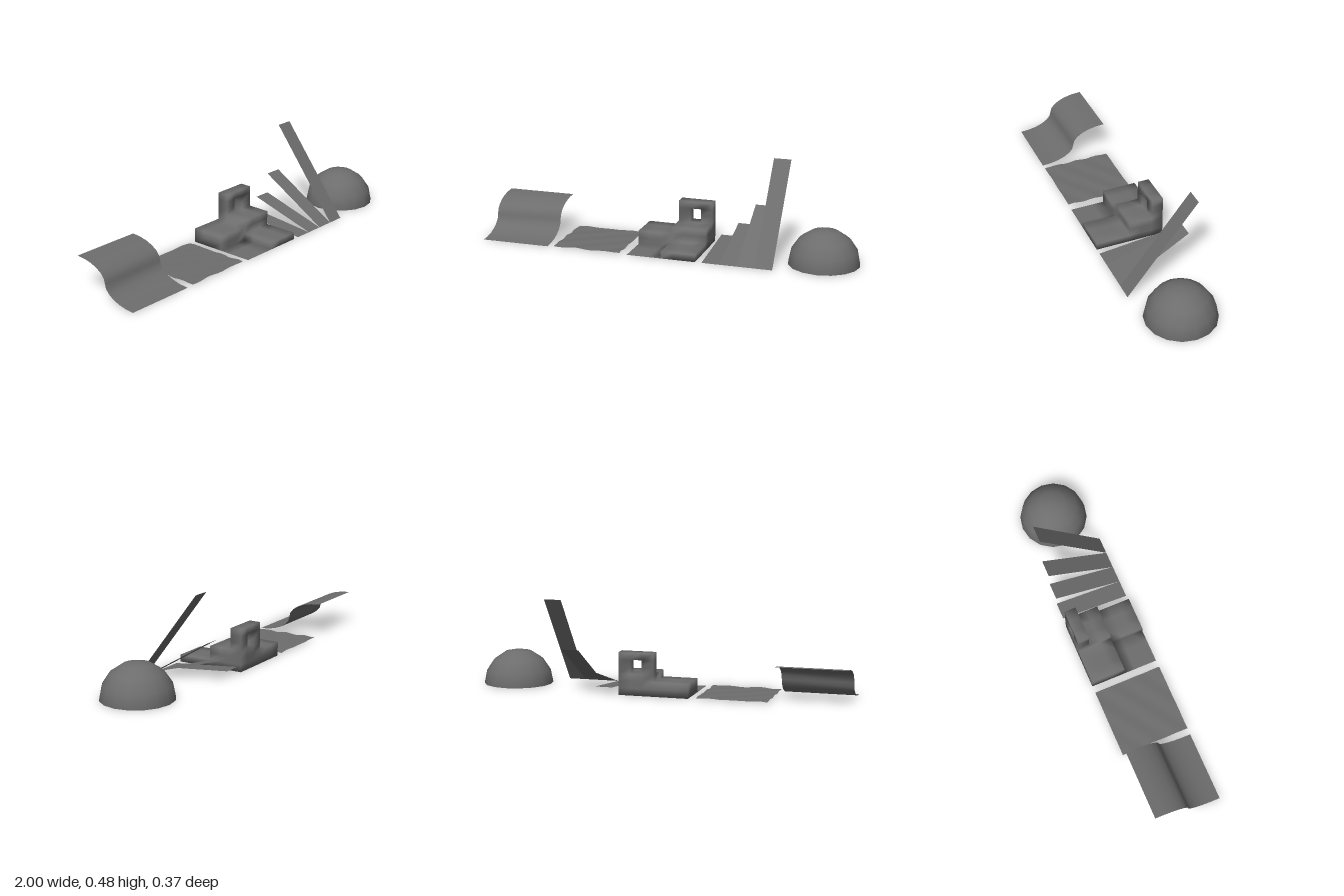
import * as THREE from 'three';
import { mergeGeometries, mergeVertices } from 'three/addons/utils/BufferGeometryUtils.js';

const HALF = 0.185, SIZE = HALF * 2;

export function createModel() {
  const model = new THREE.Group();
  const material = new THREE.MeshStandardMaterial({ color: 0x6d6d6d, side: THREE.DoubleSide });

  function add(parent, name, geometry, x = 0) {
    const mesh = new THREE.Mesh(geometry, material);
    mesh.name = name;
    mesh.position.x = x;
    parent.add(mesh);
  }

  // Horizontal sheet whose vertices are moved by a rule
  function sheet(width, nx, nz, rule) {
    const geometry = new THREE.PlaneGeometry(width, SIZE, nx, nz).rotateX(-Math.PI / 2);
    const p = geometry.attributes.position;
    for (let i = 0; i < p.count; i++) {
      const [y, z] = rule(p.getX(i), p.getZ(i));
      p.setY(i, y);
      p.setZ(i, z);
    }
    geometry.computeVertexNormals();
    return geometry;
  }

  // S-curved sheet: two quarter ellipses meeting at a vertical middle
  add(model, 'curvedSheet', sheet(SIZE, 1, 12, (x, z) => {
    const a = (1 - Math.abs(z) / HALF) * Math.PI / 2;
    const rise = HALF / 2 * (1 - Math.cos(a));
    const run = HALF * (1 - Math.sin(a));
    return z >= 0 ? [rise, run] : [HALF - rise, -run];
  }), -0.815);

  // Slightly uneven ground sheet
  add(model, 'bumpySheet', sheet(SIZE, 12, 12, (x, z) => [
    0.006 + 0.002 * Math.sin(x * 31 + z * 47 + 1) + 0.002 * Math.sin(z * 61 - x * 43),
    z,
  ]), -0.41);

  // Stepped block on a 6 x 6 x 6 grid: low and middle steps, side step, windowed back wall
  const filled = (x, y, z) => {
    if (Math.min(x, y, z) < 0 || Math.max(x, y, z) > 5) return false;
    if (x < 3) return z < 3 && y < 2;
    if (z === 0) return !(x === 4 && (y === 3 || y === 4));
    return y < (z < 3 ? 3 : 1);
  };
  const facing = (rx, ry) => new THREE.PlaneGeometry(1, 1).translate(0, 0, 0.5).rotateX(rx).rotateY(ry);
  const Q = Math.PI / 2;
  const sides = [
    [1, 0, 0, facing(0, Q)], [-1, 0, 0, facing(0, -Q)],
    [0, 1, 0, facing(-Q, 0)], [0, -1, 0, facing(Q, 0)],
    [0, 0, 1, facing(0, 0)], [0, 0, -1, facing(0, 2 * Q)],
  ];
  const faces = [];
  for (let x = 0; x < 6; x++) for (let y = 0; y < 6; y++) for (let z = 0; z < 6; z++) {
    if (filled(x, y, z)) {
      for (const [dx, dy, dz, face] of sides) {
        if (!filled(x + dx, y + dy, z + dz)) faces.push(face.clone().translate(x, y, z));
      }
    } else if (y === 0) {
      // Thin floor plate in the open front corner
      faces.push(sides[2][3].clone().translate(x, -1, z));
    }
  }
  // Shared corner normals give the block its soft shading
  const grid = mergeGeometries(faces).translate(-2.5, 0.5, -2.5).scale(SIZE / 6, 0.0372, SIZE / 6);
  grid.deleteAttribute('normal');
  grid.deleteAttribute('uv');
  const block = mergeVertices(grid, 1e-4);
  block.computeVertexNormals();
  add(model, 'steppedBlock', block);

  // Four thin ramps of growing steepness, hinged on the front edge
  const ramps = new THREE.Group();
  ramps.name = 'ramps';
  model.add(ramps);
  const stripWidth = SIZE / 4;
  [0.037, 0.111, 0.222, 0.481].forEach((height, i) => {
    const strip = sheet(stripWidth, 1, 1, (x, z) => [height * (HALF - z) / SIZE, z]);
    add(ramps, 'ramp', strip, 0.22 + stripWidth * (i + 0.5));
  });

  // Open hemispherical dome
  add(model, 'dome', new THREE.SphereGeometry(HALF, 16, 4, 0, Math.PI * 2, 0, Math.PI / 2), 0.815);

  return model;
}
